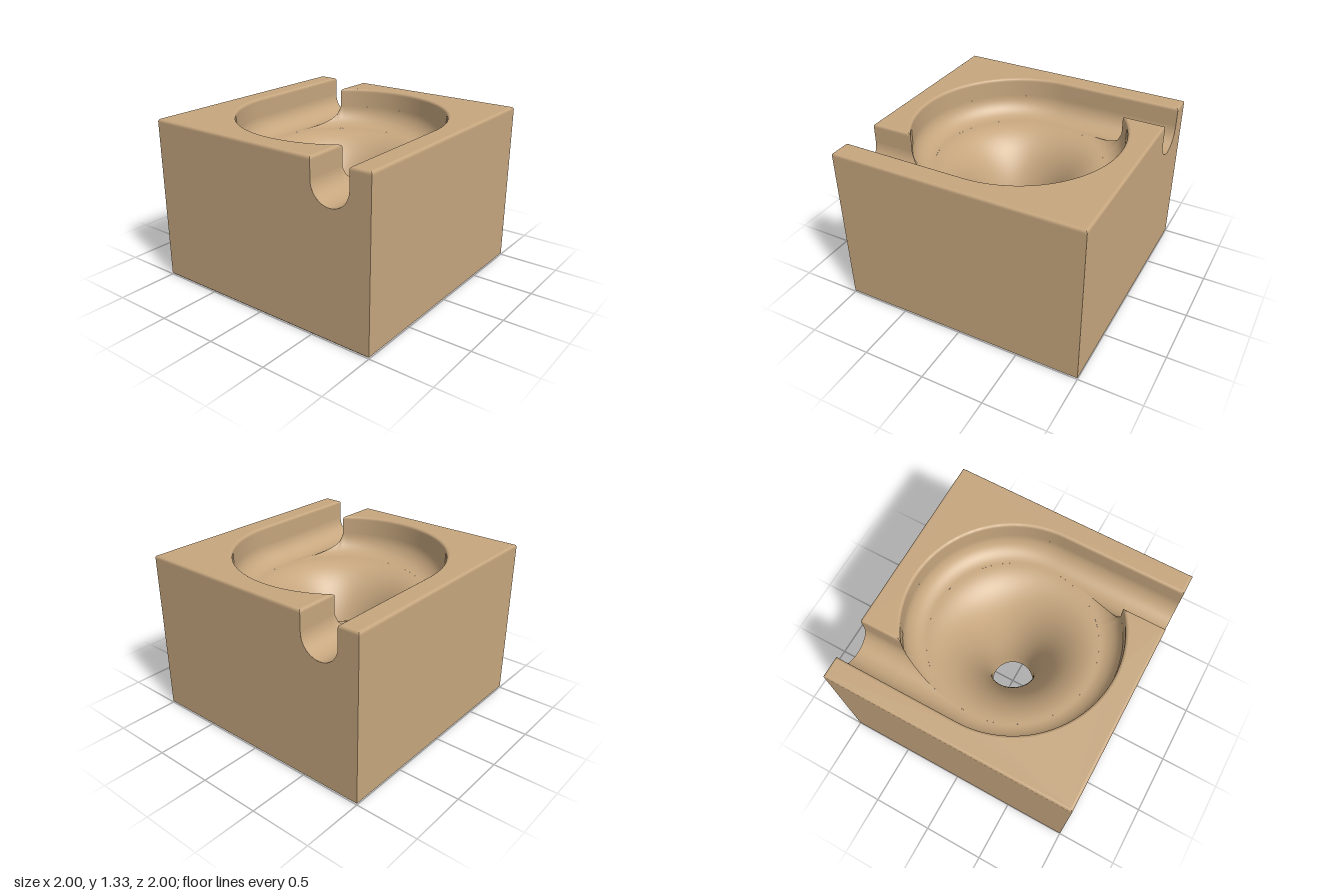
import * as THREE from 'three';
import { toCreasedNormals } from 'three/addons/utils/BufferGeometryUtils.js';

const H = 1.33;            // block height
const C = 0.67;            // channel centre line and groove radius
const T = 0.16;            // channel half width
const R = C + T;           // bowl radius
const RIM = 1.17;          // height where the walls become vertical
const HOLE = 0.18;
const EDGE = 0.02;         // edge rounding
const FOOT = 0.012;        // bottom chamfer

// Surface from a rule f(u, v) -> [x, y, z]
function grid(f, nu, nv) {
  const pos = [], idx = [];
  for (let i = 0; i <= nu; i++) {
    for (let j = 0; j <= nv; j++) pos.push(...f(i / nu, j / nv));
  }
  for (let i = 0; i < nu; i++) {
    for (let j = 0; j < nv; j++) {
      const a = i * (nv + 1) + j, b = a + nv + 1;
      idx.push(a, a + 1, b, a + 1, b + 1, b);
    }
  }
  const g = new THREE.BufferGeometry();
  g.setAttribute('position', new THREE.Float32BufferAttribute(pos, 3));
  g.setIndex(idx);
  return toCreasedNormals(g, 0.6);
}

// Outline moved inwards by d, with mitred corners
function inset(pts, d) {
  const n = pts.length;
  const normal = (p, q) => new THREE.Vector2(p.y - q.y, q.x - p.x).normalize();
  return pts.map((p, i) => {
    const a = normal(pts[(i + n - 1) % n], p), b = normal(p, pts[(i + 1) % n]);
    return a.clone().add(b).multiplyScalar(d / (1 + a.dot(b))).add(p);
  });
}

// Walls following an outline through rows of [height, inset]
function walls(pts, rows) {
  const rings = rows.map(([, d]) => inset(pts, d));
  return grid((u, v) => {
    const j = Math.round(v * (rows.length - 1));
    const p = rings[j][Math.round(u * pts.length) % pts.length];
    return [p.x, rows[j][0], p.y];
  }, pts.length, rows.length - 1);
}

const grooveY = (d) => RIM - Math.sqrt(Math.max(0, T * T - d * d));
// Piecewise ramp that puts a sample exactly on the kink
const ramp = (u, k, mid, end) => (u < k ? (u / k) * mid : mid + ((u - k) / (1 - k)) * (end - mid));

export function createModel() {
  const model = new THREE.Group();
  model.name = 'funnelBlock';
  const tan = new THREE.MeshStandardMaterial({ color: 0xc6a67e });
  tan.name = 'tan';
  const add = (parent, name, geometry) => {
    const mesh = new THREE.Mesh(geometry, tan);
    mesh.name = name;
    parent.add(mesh);
    return mesh;
  };
  const V = (x, z) => new THREE.Vector2(x, z);

  // Raised land beside the bowl: channel wall, bowl arc, opposite channel wall, block corner
  const land = [V(1, -R)];
  const arcEnd = Math.acos(-(C - T) / R);
  for (let i = 0; i <= 60; i++) {
    const a = (arcEnd * i) / 60;
    land.push(V(-R * Math.sin(a), -R * Math.cos(a)));
  }
  land.push(V(-1, C - T), V(-1, -1), V(1, -1));
  const landRows = [[RIM, 0], [H - EDGE - 0.01, 0]];
  for (let i = 0; i <= 4; i++) {
    const a = (i / 4) * Math.PI / 2;
    landRows.push([H - EDGE * (1 - Math.sin(a)), EDGE * (1 - Math.cos(a))]);
  }
  const landWalls = walls(land, landRows);
  const landTop = new THREE.ShapeGeometry(
    new THREE.Shape(inset(land, EDGE).map((p) => V(p.x, -p.y))));
  landTop.rotateX(-Math.PI / 2).translate(0, H, 0);

  // Straight channel floor, trimmed where it meets the ring groove
  const kinkX = Math.sqrt(4 * C * T);
  const channel = grid((u, v) => {
    const x = ramp(u, 0.65, kinkX, 1);
    const inner = Math.min(T, (x * x) / (4 * C));
    const start = -Math.PI / 2, end = Math.asin(inner / T);
    const d = T * Math.sin(start + (end - start) * v);
    return [x, grooveY(d), -C + d];
  }, 40, 24);

  // Half of the ring groove, trimmed by the channel
  const kinkA = Math.acos((2 * C) / R - 1);
  const groove = grid((u, v) => {
    const a = ramp(u, 0.3, kinkA, Math.PI);
    const outer = Math.min(R, (2 * C) / (1 + Math.cos(a)));
    const d = T * Math.sin(Math.asin(Math.min(1, (outer - C) / T)) * (1 - v));
    return [(C + d) * Math.sin(a), grooveY(d), -(C + d) * Math.cos(a)];
  }, 80, 16);

  // Side with the channel mouth
  const side = new THREE.Shape();
  side.moveTo(-1, FOOT);
  side.lineTo(1, FOOT);
  side.lineTo(1, RIM);
  side.lineTo(R, RIM);
  side.absarc(C, RIM, T, 0, -Math.PI, true);
  side.lineTo(-1, RIM);
  const sideWall = new THREE.ShapeGeometry(side, 32).rotateY(Math.PI / 2).translate(1, 0, 0);

  // Plain side
  const plainWall = new THREE.PlaneGeometry(2, RIM - FOOT)
    .rotateY(Math.PI).translate(0, (RIM + FOOT) / 2, -1);

  // The block repeats after half a turn
  for (const [name, turn] of [['backHalf', 0], ['frontHalf', Math.PI]]) {
    const half = new THREE.Group();
    half.name = name;
    half.rotation.y = turn;
    add(half, 'landWalls', landWalls);
    add(half, 'landTop', landTop);
    add(half, 'channelFloor', channel);
    add(half, 'ringGroove', groove);
    add(half, 'channelSideWall', sideWall);
    add(half, 'plainWall', plainWall);
    model.add(half);
  }

  // Funnel curving down into the drain hole
  const throat = 0.15;
  add(model, 'funnel', grid((u, v) => {
    const a = u * Math.PI * 2;
    const t = Math.min(1, v / 0.96) * Math.PI / 2;
    const r = C - (C - HOLE) * Math.sin(t);
    const y = v > 0.99 ? 0 : throat + (1.01 - throat) * Math.cos(t);
    return [r * Math.sin(a), y, -r * Math.cos(a)];
  }, 96, 25));

  // Underside with hole and chamfered foot
  const square = [V(1, 1), V(-1, 1), V(-1, -1), V(1, -1)];
  add(model, 'footChamfer', walls(square, [[0, FOOT], [FOOT, 0]]));
  const base = new THREE.Shape(inset(square, FOOT));
  base.holes.push(new THREE.Path().absarc(0, 0, HOLE, 0, Math.PI * 2, false));
  add(model, 'underside', new THREE.ShapeGeometry(base, 48).rotateX(Math.PI / 2));

  return model;
}
